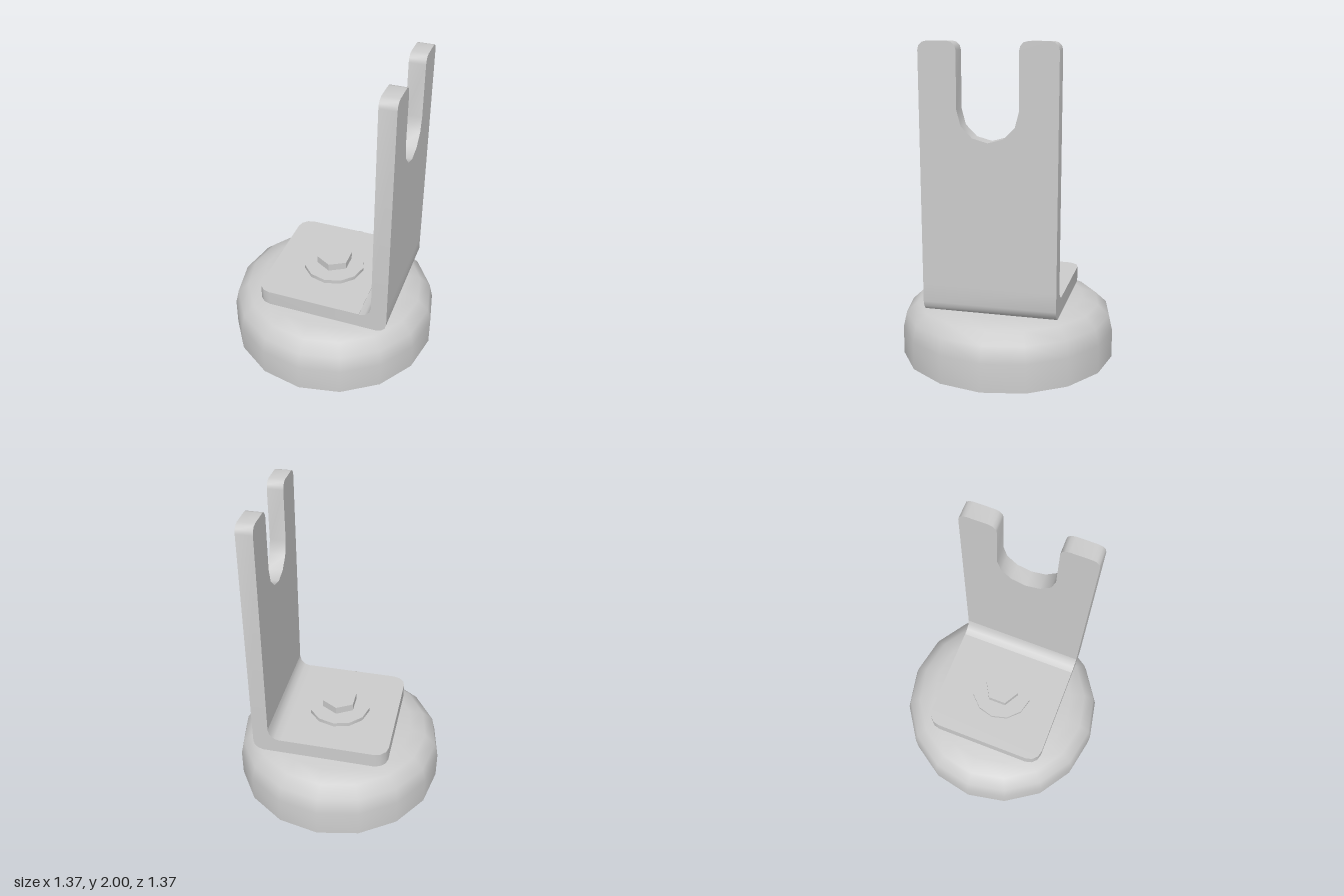
import * as THREE from 'three';
import { toCreasedNormals } from 'three/addons/utils/BufferGeometryUtils.js';

const grey = new THREE.MeshStandardMaterial({ color: 0xcccccc });
const V = (x, y) => new THREE.Vector2(x, y);

function part(name, geometry, y = 0) {
  const mesh = new THREE.Mesh(toCreasedNormals(geometry, 0.7), grey);
  mesh.name = name;
  mesh.position.y = y;
  return mesh;
}

// points on an arc, angles in degrees
function arc(cx, cy, r, from, to, n) {
  return Array.from({ length: n + 1 }, (_, i) => {
    const a = THREE.MathUtils.degToRad(from + ((to - from) * i) / n);
    return V(cx + r * Math.cos(a), cy + r * Math.sin(a));
  });
}

const extrude = (points, depth) =>
  new THREE.ExtrudeGeometry(new THREE.Shape(points), { depth, bevelEnabled: false });

export function createModel() {
  const model = new THREE.Group();
  model.name = 'mountingFoot';

  // round foot with a softened upper edge
  const profile = [V(0, 0), V(0.685, 0), V(0.685, 0.18), V(0.662, 0.28), V(0.59, 0.347), V(0.49, 0.38), V(0, 0.38)];
  model.add(part('base', new THREE.LatheGeometry(profile, 16)));

  // L-shaped bracket: floor plate, bend and slotted upright
  const bracket = new THREE.Group();
  bracket.name = 'bracket';
  const half = 0.407, y0 = 0.39, y1 = 0.49, xIn = 0.383, xOut = 0.485;
  const bendX = 0.305, bendY = 0.565;

  const floor = extrude([
    V(bendX, -half), V(bendX, half),
    ...arc(-0.305, half - 0.085, 0.085, 90, 180, 3),
    ...arc(-0.305, -half + 0.085, 0.085, 180, 270, 3),
  ], y1 - y0);
  bracket.add(part('floorPlate', floor.rotateX(-Math.PI / 2), y0));

  const bend = extrude([
    V(bendX, y0),
    ...arc(xOut - 0.065, y0 + 0.065, 0.065, -90, 0, 3),
    V(xOut, bendY),
    ...arc(bendX, bendY, xIn - bendX, 0, -90, 3),
  ], half * 2);
  bracket.add(part('bend', bend.translate(0, 0, -half)));

  const r = 0.05, slot = 0.182;
  const upright = extrude([
    V(-half, bendY), V(half, bendY),
    ...arc(half - r, 2 - r, r, 0, 90, 3),
    ...arc(slot + r, 2 - r, r, 90, 180, 3),
    ...arc(0, 1.615, slot, 0, -180, 6),
    ...arc(-slot - r, 2 - r, r, 0, 90, 3),
    ...arc(-half + r, 2 - r, r, 90, 180, 3),
  ], xOut - xIn);
  bracket.add(part('slottedUpright', upright.rotateY(Math.PI / 2).translate(xIn, 0, 0)));
  model.add(bracket);

  // fastener on the floor plate
  model.add(part('washer', new THREE.CylinderGeometry(0.203, 0.203, 0.026, 12), 0.505));
  model.add(part('hexBolt', new THREE.CylinderGeometry(0.117, 0.117, 0.05, 6), 0.553));
  return model;
}
